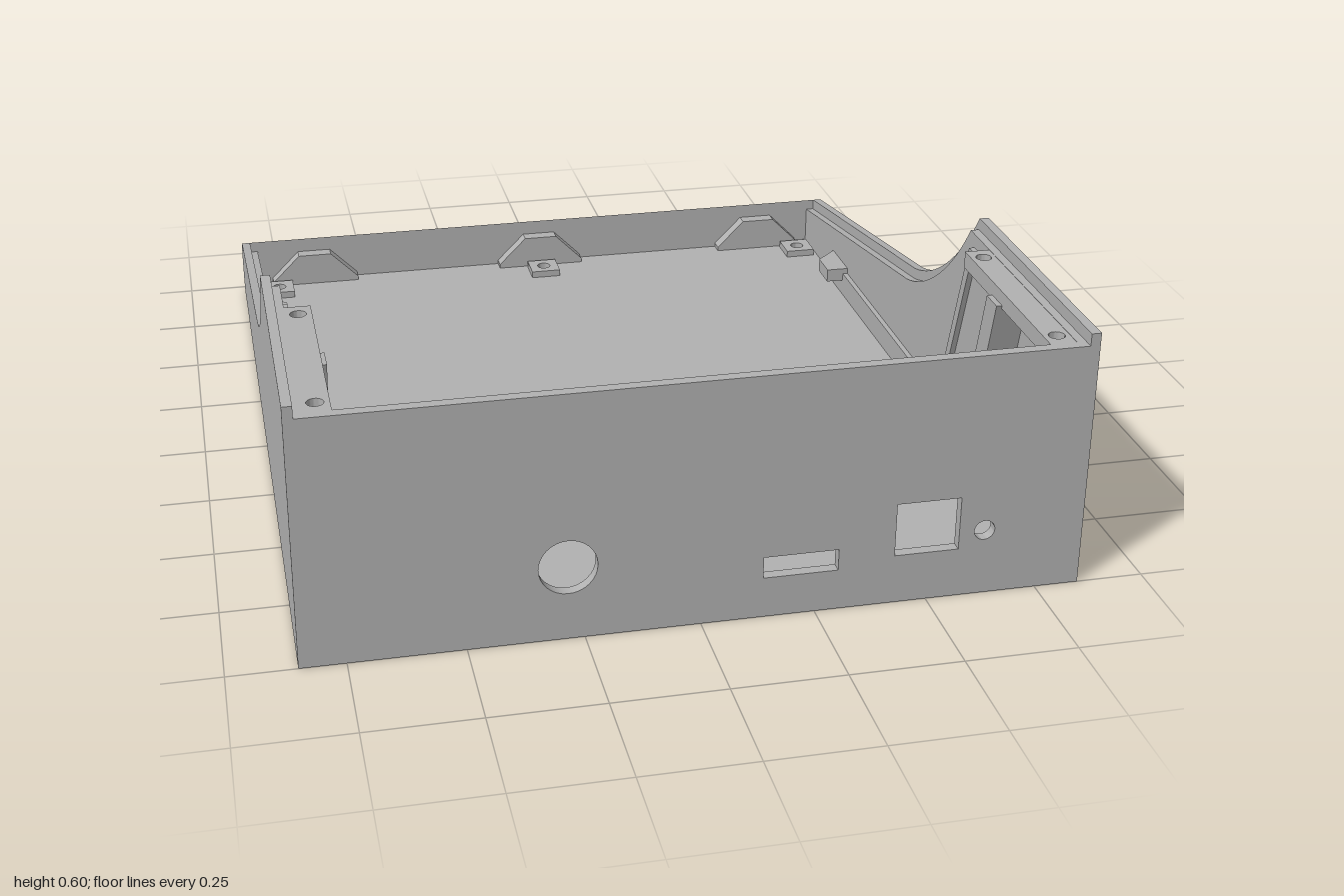
import * as THREE from 'three';
import { toCreasedNormals } from 'three/addons/utils/BufferGeometryUtils.js';

export function createModel() {
  const group = new THREE.Group();
  const grey = new THREE.MeshStandardMaterial({ color: 0xb2b2b2 });
  grey.name = 'case grey';

  const add = (name, geometry) => {
    const mesh = new THREE.Mesh(geometry, grey);
    mesh.name = name;
    group.add(mesh);
  };
  const poly = (points) => new THREE.Shape(points.map(([a, b]) => new THREE.Vector2(a, b)));
  const rect = (a0, b0, a1, b1) => poly([[a0, b0], [a1, b0], [a1, b1], [a0, b1]]);
  const circle = (a, b, r) => new THREE.Path().absarc(a, b, r, 0, Math.PI * 2, true);
  const extrude = (shape, depth) =>
    new THREE.ExtrudeGeometry(shape, { depth, bevelEnabled: false, curveSegments: 16 });

  // Shapes drawn in (z, y), (x, z) and (x, y), given depth along the third axis
  const alongX = (shape, x0, x1) =>
    toCreasedNormals(extrude(shape, x1 - x0).rotateY(-Math.PI / 2).translate(x1, 0, 0), 0.5);
  const alongY = (shape, y0, y1) =>
    toCreasedNormals(extrude(shape, y1 - y0).rotateX(Math.PI / 2).translate(0, y1, 0), 0.5);
  const alongZ = (shape, z0, z1) =>
    toCreasedNormals(extrude(shape, z1 - z0).translate(0, 0, z0), 0.5);
  const sideways = (shape, s, x0, x1) => (s > 0 ? alongX(shape, x0, x1) : alongX(shape, -x1, -x0));

  // Swept side outline, optionally lowered for the lid rebate
  const sideProfile = (drop, zFront, zBack) => {
    const shape = new THREE.Shape();
    shape.moveTo(zBack, 0);
    shape.lineTo(zFront, 0);
    shape.lineTo(zFront, 0.6 - drop);
    shape.lineTo(0.34, 0.6 - drop);
    shape.bezierCurveTo(0.24, 0.46 - drop, 0.08, 0.335 - drop, -0.075, 0.3 - drop);
    shape.lineTo(zBack, 0.148 - drop);
    return shape;
  };

  // Rounded low edge across the full width
  const nose = new THREE.Shape();
  nose.moveTo(-0.965, 0);
  nose.lineTo(-0.965, 0.148);
  nose.bezierCurveTo(-0.988, 0.14, -1, 0.11, -1, 0.076);
  nose.bezierCurveTo(-1, 0.04, -0.988, 0.01, -0.965, 0);
  add('roundedEdge', alongX(nose, -0.85, 0.85));

  // Tall panel with connector openings
  const panel = rect(-0.828, 0, 0.828, 0.572);
  panel.holes.push(
    circle(-0.285, 0.172, 0.063),
    rect(0.135, 0.095, 0.3, 0.145),
    rect(0.425, 0.115, 0.568, 0.24),
    circle(0.625, 0.155, 0.023),
  );
  add('connectorPanel', alongZ(panel, 0.975, 1));

  // Floor with vents, screw holes and openings under the bosses
  const floor = rect(-0.81, -0.965, 0.81, 0.975);
  for (const x0 of [-0.53, 0.115]) {
    for (let i = 0; i < 5; i++) {
      const z = 0.165 + i * 0.081;
      floor.holes.push(rect(x0, z - 0.014, x0 + 0.41, z + 0.014));
    }
  }
  for (const x of [-0.68, -0.475, -0.365, 0.695]) {
    for (const z of [0.607, 0.933]) floor.holes.push(circle(x, z, 0.016));
  }
  const bosses = [];
  for (const x of [-0.757, 0, 0.757]) for (const z of [-0.882, 0.152]) bosses.push([x, z]);
  for (const [x, z] of bosses) {
    floor.holes.push(rect(x - 0.035, z - 0.035, x + 0.035, z + 0.035));
  }
  add('floor', alongY(floor, 0, 0.024));

  // Square screw bosses, recessed below
  for (const [x, z] of bosses) {
    const boss = rect(x - 0.04, z - 0.04, x + 0.04, z + 0.04);
    boss.holes.push(circle(x, z, 0.018));
    add('screwBoss', alongY(boss, 0.014, 0.042));
  }

  // Trapezoid lid stops behind the rounded edge
  for (const x of [-0.65, 0, 0.65]) {
    const stop = poly([[x - 0.12, 0.02], [x + 0.12, 0.02], [x + 0.12, 0.035],
      [x + 0.045, 0.11], [x - 0.045, 0.11], [x - 0.12, 0.035]]);
    add('lidStop', alongZ(stop, -0.966, -0.93));
  }

  for (const s of [1, -1]) {
    // Side wall: outer lip and lower inner layer
    add('sideWall', sideways(sideProfile(0, 1, -0.965), s, 0.828, 0.85));
    add('sideWallStep', sideways(sideProfile(0.028, 0.976, -0.965), s, 0.808, 0.829));

    // Low rail and chamfered lid tab
    add('sideRail', sideways(rect(-0.64, 0.02, 0.25, 0.085), s, 0.795, 0.81));
    const tab = poly([[0.815, -0.69], [0.808, -0.69], [0.75, -0.635], [0.75, -0.555],
      [0.815, -0.555]].map(([x, z]) => [s * x, z]));
    add('lidTab', alongY(tab, 0.065, 0.1));

    // Top ledge with two screw holes
    const ledge = rect(s > 0 ? 0.75 : -0.815, 0.46, s > 0 ? 0.815 : -0.75, 0.976);
    for (const z of [0.5, 0.933]) ledge.holes.push(circle(s * 0.78, z, 0.018));
    add('topLedge', alongY(ledge, 0.532, 0.571));

    // Slanted strut, its foot block and the slanted wall rib
    const strut = poly([[0.5, 0.02], [0.56, 0.02], [0.7, 0.54], [0.64, 0.54]]);
    add('slantedStrut', sideways(strut, s, 0.737, 0.812));
    add('strutFoot', sideways(rect(0.5, 0.1, 0.56, 0.15), s, 0.715, 0.74));
    const rib = poly([[0.2, 0.02], [0.225, 0.02], [0.395, 0.54], [0.37, 0.54]]);
    add('slantedRib', sideways(rib, s, 0.795, 0.81));
  }

  return group;
}
